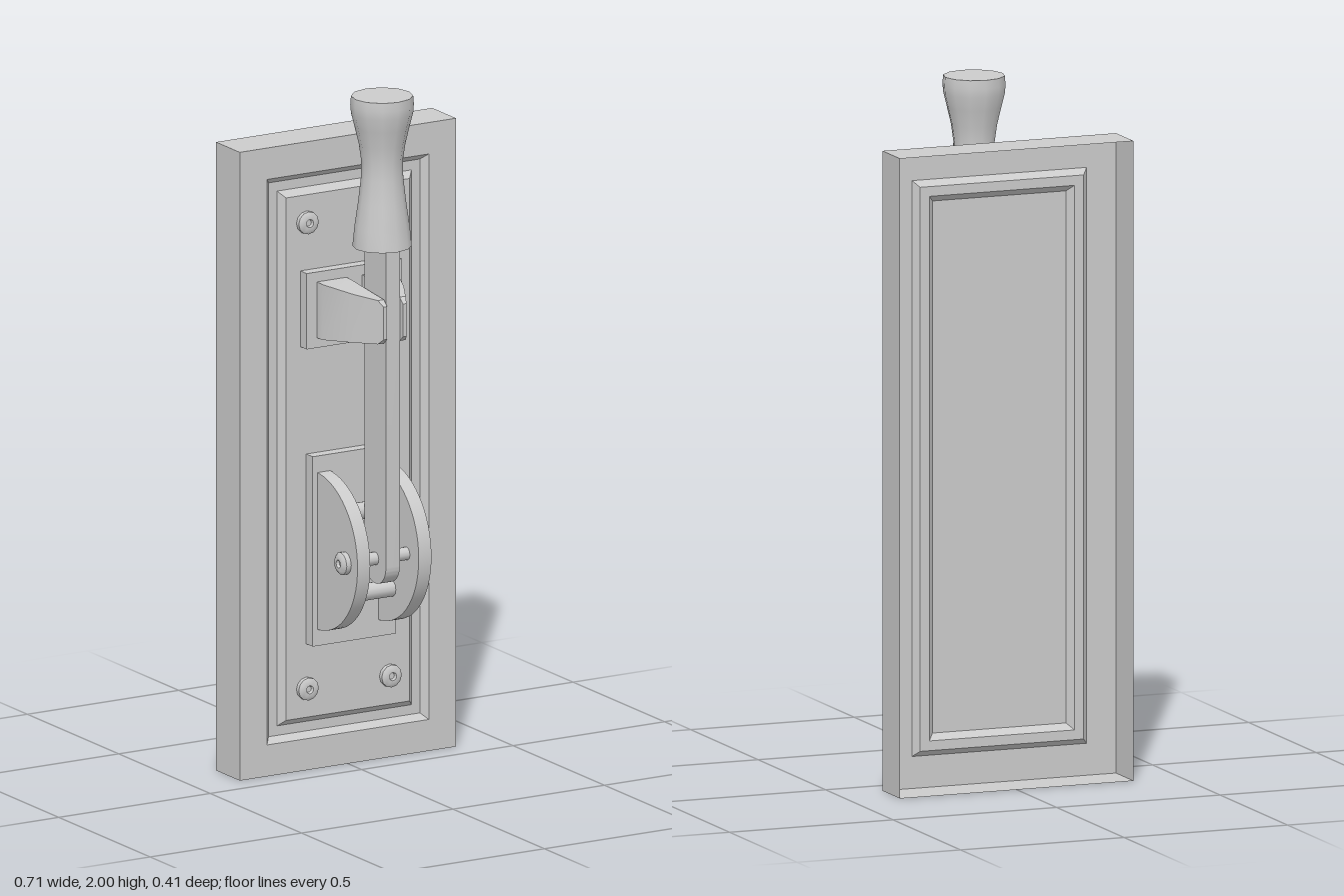
import * as THREE from 'three';
import { toCreasedNormals } from 'three/addons/utils/BufferGeometryUtils.js';

const mat = new THREE.MeshStandardMaterial({ color: 0xcccccc });
const matDouble = new THREE.MeshStandardMaterial({ color: 0xcccccc, side: THREE.DoubleSide });

function add(parent, name, geometry, x = 0, y = 0, z = 0, material = mat) {
  const mesh = new THREE.Mesh(geometry, material);
  mesh.name = name;
  mesh.position.set(x, y, z);
  parent.add(mesh);
  return mesh;
}

const lathe = (points, sides) => toCreasedNormals(
  new THREE.LatheGeometry(points.map(([r, y]) => new THREE.Vector2(r, y)), sides), 0.7);

// Extrudes an outline drawn as (z, y) along x, centred on its thickness
function sidePlate(shape, thickness) {
  const g = new THREE.ExtrudeGeometry(shape, { depth: thickness, bevelEnabled: false, curveSegments: 16 });
  g.translate(0, 0, -thickness / 2).rotateY(-Math.PI / 2);
  return toCreasedNormals(g, 0.6);
}

// Sheet lofted through nested rectangles: half width, half height, z
function rectangleLoft(rings) {
  const corners = [[-1, -1], [1, -1], [1, 1], [-1, 1]];
  const pos = [];
  const point = ([w, h, z], i) => [corners[i % 4][0] * w, corners[i % 4][1] * h, z];
  for (let r = 0; r < rings.length - 1; r++) {
    for (let i = 0; i < 4; i++) {
      const a0 = point(rings[r], i), a1 = point(rings[r], i + 1);
      const b0 = point(rings[r + 1], i), b1 = point(rings[r + 1], i + 1);
      pos.push(...a0, ...a1, ...b1, ...a0, ...b1, ...b0);
    }
  }
  const g = new THREE.BufferGeometry();
  g.setAttribute('position', new THREE.Float32BufferAttribute(pos, 3));
  g.computeVertexNormals();
  return g;
}

// Tapered jaw: each depth step has z, outer x and half height
function jawGeometry() {
  const steps = [[-0.04, 0.123, 0.082], [-0.01, 0.123, 0.081], [0.09, 0.085, 0.071], [0.165, 0.046, 0.064], [0.183, 0.038, 0.048]];
  const g = new THREE.BoxGeometry(1, 1, 1, 1, 1, steps.length - 1);
  const p = g.attributes.position;
  for (let i = 0; i < p.count; i++) {
    const [z, outer, half] = steps[Math.round((p.getZ(i) + 0.5) * (steps.length - 1))];
    p.setXYZ(i, p.getX(i) > 0 ? outer : 0.026, 1.354 + Math.sign(p.getY(i)) * half, z);
  }
  return toCreasedNormals(g, 0.5);
}

export function createModel() {
  const model = new THREE.Group();
  model.name = 'wallLever';

  // Open-backed panel with a groove pressed around its face
  add(model, 'panel', rectangleLoft([
    [0.357, 0.92, -0.205], [0.357, 0.92, -0.075], [0.267, 0.828, -0.075], [0.25, 0.811, -0.095],
    [0.222, 0.783, -0.095], [0.204, 0.765, -0.075], [0, 0.561, -0.075],
  ]), 0, 0.92, 0, matDouble);

  // Screws in the panel corners
  const screw = lathe([[0, 0.012], [0.009, 0.012], [0.012, 0.02], [0.023, 0.02], [0.033, 0.013], [0.033, 0]].reverse(), 12);
  for (const x of [-0.137, 0.137]) {
    for (const y of [0.24, 1.605]) add(model, 'screw', screw, x, y, -0.075).rotation.x = Math.PI / 2;
  }

  // Mounting plates
  add(model, 'clipPlate', new THREE.BoxGeometry(0.314, 0.222, 0.035), 0, 1.354, -0.0575);
  add(model, 'hingePlate', new THREE.BoxGeometry(0.275, 0.556, 0.035), 0, 0.648, -0.0575);

  // Clip jaws on either side of the lever
  const jaw = jawGeometry();
  add(model, 'clipJawLeft', jaw);
  add(model, 'clipJawRight', jaw).rotation.z = Math.PI;
  model.getObjectByName('clipJawRight').position.y = 2 * 1.354;

  // Half-round hinge brackets
  const half = new THREE.Shape();
  half.moveTo(-0.045, -0.232);
  half.absarc(-0.05, 0, 0.23, -Math.PI / 2, Math.PI / 2, false);
  half.closePath();
  const bracket = sidePlate(half, 0.042);
  for (const s of [-1, 1]) add(model, 'hingeBracket', bracket, s * 0.101, 0.648, 0);

  // Spacer rods, pivot pin and bolt heads
  const rod = (r, length) => new THREE.CylinderGeometry(r, r, length, 12).rotateZ(Math.PI / 2);
  for (const s of [-1, 1]) add(model, 'spacerRod', rod(0.025, 0.17), 0, 0.648 + s * 0.12, 0.03);
  add(model, 'pivotPin', rod(0.019, 0.2), 0, 0.648, 0.113);
  for (const s of [-1, 1]) {
    const bolt = add(model, 'pivotBolt', screw, s * 0.122, 0.648, 0.113);
    bolt.rotation.z = -s * Math.PI / 2;
    bolt.scale.y = 1.15;
  }

  // Flat lever bar with a rounded foot
  const bar = new THREE.Shape();
  bar.moveTo(0.058, 1.6);
  bar.lineTo(-0.058, 1.6);
  bar.lineTo(-0.058, 0.633);
  bar.absarc(0, 0.633, 0.058, Math.PI, Math.PI * 2, false);
  bar.closePath();
  add(model, 'lever', sidePlate(bar, 0.046), 0, 0, 0.113);

  // Waisted grip
  add(model, 'handle', lathe([
    [0, 1.56], [0.084, 1.56], [0.078, 1.62], [0.068, 1.69], [0.06, 1.76], [0.059, 1.81],
    [0.066, 1.86], [0.078, 1.91], [0.088, 1.95], [0.09, 1.975], [0.088, 2.0], [0, 2.0],
  ], 12), 0, 0, 0.112);

  return model;
}
